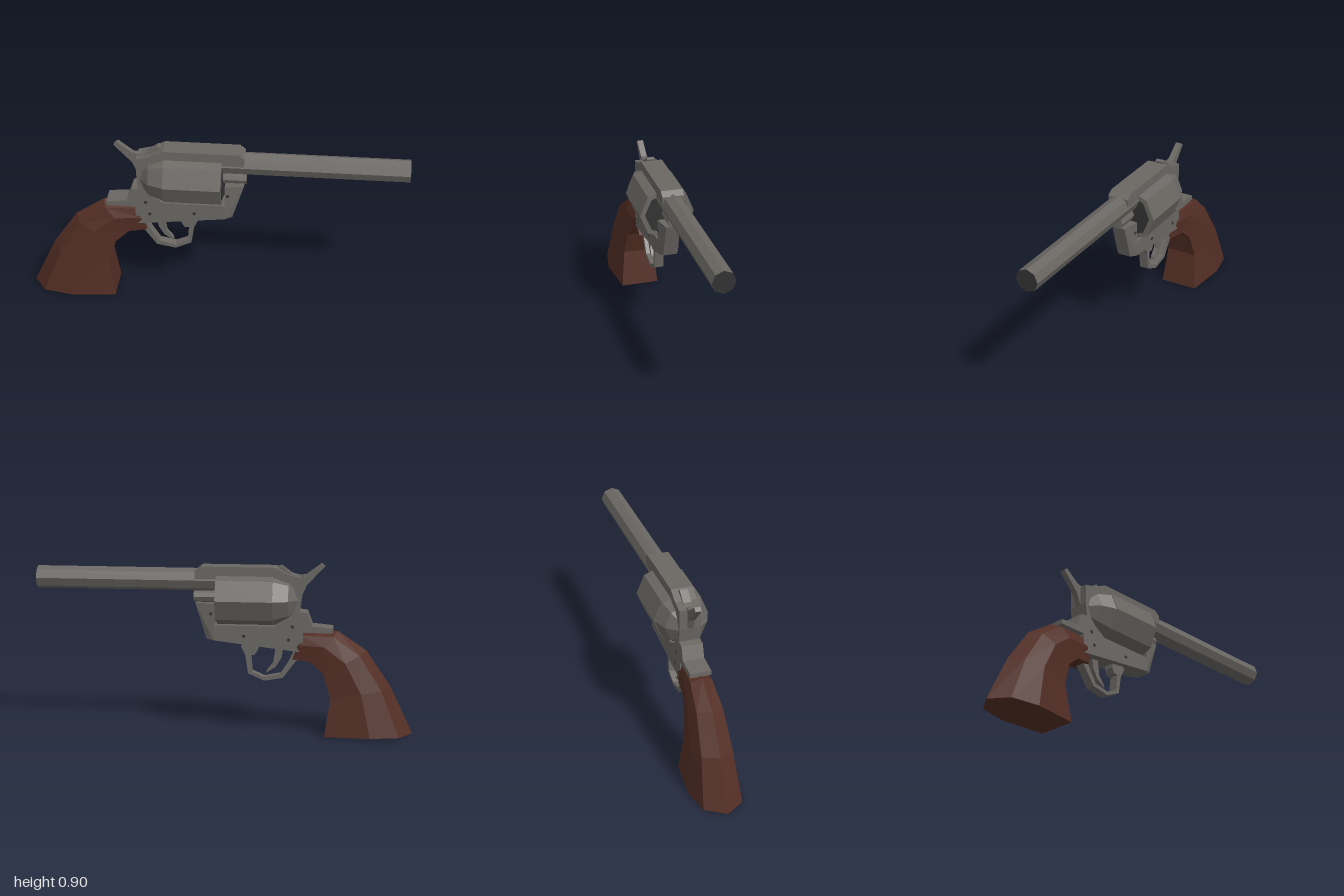
import * as THREE from 'three';

export function createModel() {
  const model = new THREE.Group();
  model.name = 'revolver';
  const mat = (name, color) => {
    const m = new THREE.MeshStandardMaterial({ color });
    m.name = name;
    return m;
  };
  const steel = mat('gunmetal', 0x6a6763);
  const dark = mat('dark steel', 0x323232);
  const wood = mat('walnut', 0x532e24);

  // Adds a faceted mesh
  function add(name, geometry, material) {
    const g = geometry.index ? geometry.toNonIndexed() : geometry;
    g.computeVertexNormals();
    const mesh = new THREE.Mesh(g, material);
    mesh.name = name;
    model.add(mesh);
    return mesh;
  }

  // Side profile extruded evenly about z = 0
  function plate(points, halfWidth) {
    const shape = new THREE.Shape(points.map(p => new THREE.Vector2(...p)));
    const g = new THREE.ExtrudeGeometry(shape, { depth: halfWidth * 2, bevelEnabled: false });
    return g.translate(0, 0, -halfWidth);
  }

  // Eight-sided bar along x, from x0 (radius r0) to x1 (radius r1)
  function bar(x0, x1, y, r0, r1 = r0) {
    return new THREE.CylinderGeometry(r1, r0, x1 - x0, 8)
      .rotateZ(-Math.PI / 2).translate((x0 + x1) / 2, y, 0);
  }

  // Barrel with dark muzzle face, ejector rod
  add('barrel', bar(0.03, 1, 0.81, 0.06), [steel, dark, dark]);
  add('ejectorRod', bar(0.03, 0.16, 0.72, 0.031), steel);

  // Drum, its dark front face and the rounded recoil shield
  add('drum', bar(-0.265, 0.035, 0.715, 0.145), steel);
  add('drumFace', bar(0.035, 0.039, 0.715, 0.118), dark);
  add('recoilShieldFront', bar(-0.345, -0.265, 0.715, 0.112, 0.141), steel);
  add('recoilShieldRear', bar(-0.39, -0.345, 0.715, 0.06, 0.112), steel);

  // Frame
  add('topStrap', plate([
    [-0.4, 0.78], [-0.27, 0.80], [0.15, 0.81], [0.15, 0.862], [0.12, 0.885], [-0.27, 0.885], [-0.34, 0.85], [-0.4, 0.835],
  ], 0.057), steel);
  add('lowerFrame', plate([
    [-0.42, 0.44], [0.05, 0.494], [0.05, 0.575], [-0.27, 0.575], [-0.34, 0.62], [-0.36, 0.835],
    [-0.41, 0.835], [-0.41, 0.73], [-0.4, 0.655], [-0.44, 0.65], [-0.465, 0.58], [-0.575, 0.57],
    [-0.575, 0.545], [-0.42, 0.545],
  ], 0.056), steel);

  // Front post, tapering towards its leading edge
  const post = plate([[0.05, 0.494], [0.09, 0.5], [0.15, 0.69], [0.05, 0.69]], 0.056);
  const pp = post.attributes.position;
  for (let i = 0; i < pp.count; i++) if (pp.getX(i) > 0.08) pp.setZ(i, pp.getZ(i) * 0.65);
  add('framePost', post, steel);

  // Hammer: spur and nose
  add('hammerSpur', plate([
    [-0.41, 0.73], [-0.37, 0.8], [-0.38, 0.84], [-0.43, 0.845], [-0.51, 0.905], [-0.53, 0.89], [-0.435, 0.79],
  ], 0.016), steel);
  add('hammerNose', plate([
    [-0.4, 0.8], [-0.3, 0.85], [-0.285, 0.885], [-0.3, 0.893], [-0.36, 0.85], [-0.4, 0.835],
  ], 0.021), steel);

  // Trigger guard, its front lug and the trigger
  add('triggerGuard', plate([
    [-0.41, 0.42], [-0.37, 0.37], [-0.315, 0.295], [-0.215, 0.277], [-0.13, 0.315], [-0.112, 0.43],
    [-0.14, 0.43], [-0.15, 0.325], [-0.215, 0.297], [-0.3, 0.315], [-0.345, 0.385], [-0.375, 0.45],
  ], 0.025), steel);
  add('guardLug', plate([
    [-0.165, 0.415], [-0.115, 0.415], [-0.092, 0.46], [-0.1, 0.485], [-0.18, 0.475], [-0.182, 0.445],
  ], 0.027), steel);
  add('trigger', plate([
    [-0.315, 0.46], [-0.305, 0.4], [-0.275, 0.35], [-0.225, 0.318], [-0.23, 0.335], [-0.262, 0.375], [-0.275, 0.46],
  ], 0.013), steel);

  // Frame screws on both sides
  for (const [x, y, z] of [[-0.365, 0.575, 0.056], [-0.345, 0.505, 0.056], [-0.11, 0.52, 0.056], [0.065, 0.635, 0.052]]) {
    for (const side of [1, -1]) {
      const g = new THREE.CylinderGeometry(0.009, 0.009, 0.006, 8).rotateX(Math.PI / 2);
      add('screw', g.translate(x, y, side * z), dark);
    }
  }

  // Grip: seven-sided sections from butt to frame [back x, y, front x, y, half width]
  const sections = [
    [-1, 0.008, -0.54, 0, 0.13],
    [-0.88, 0.26, -0.57, 0.2, 0.105],
    [-0.75, 0.45, -0.53, 0.33, 0.088],
    [-0.6, 0.55, -0.46, 0.39, 0.072],
    [-0.42, 0.55, -0.365, 0.4, 0.058],
  ];
  const ring = [[0, 0], [0.15, 0.78], [0.48, 1], [1, 0.8], [1, -0.8], [0.48, -1], [0.15, -0.78]];
  const n = ring.length;
  const verts = [];
  const index = [];
  for (const [bx, by, fx, fy, w] of sections) {
    for (const [t, z] of ring) verts.push(bx + (fx - bx) * t, by + (fy - by) * t, z * w);
  }
  for (let s = 0; s < sections.length - 1; s++) {
    for (let i = 0; i < n; i++) {
      const a = s * n + i, b = s * n + (i + 1) % n;
      index.push(a, b, b + n, a, b + n, a + n);
    }
  }
  const last = (sections.length - 1) * n;
  for (let i = 1; i < n - 1; i++) {
    index.push(0, i + 1, i);
    index.push(last, last + i, last + i + 1);
  }
  const grip = new THREE.BufferGeometry();
  grip.setAttribute('position', new THREE.Float32BufferAttribute(verts, 3));
  grip.setIndex(index);
  add('grip', grip, wood);

  return model;
}
